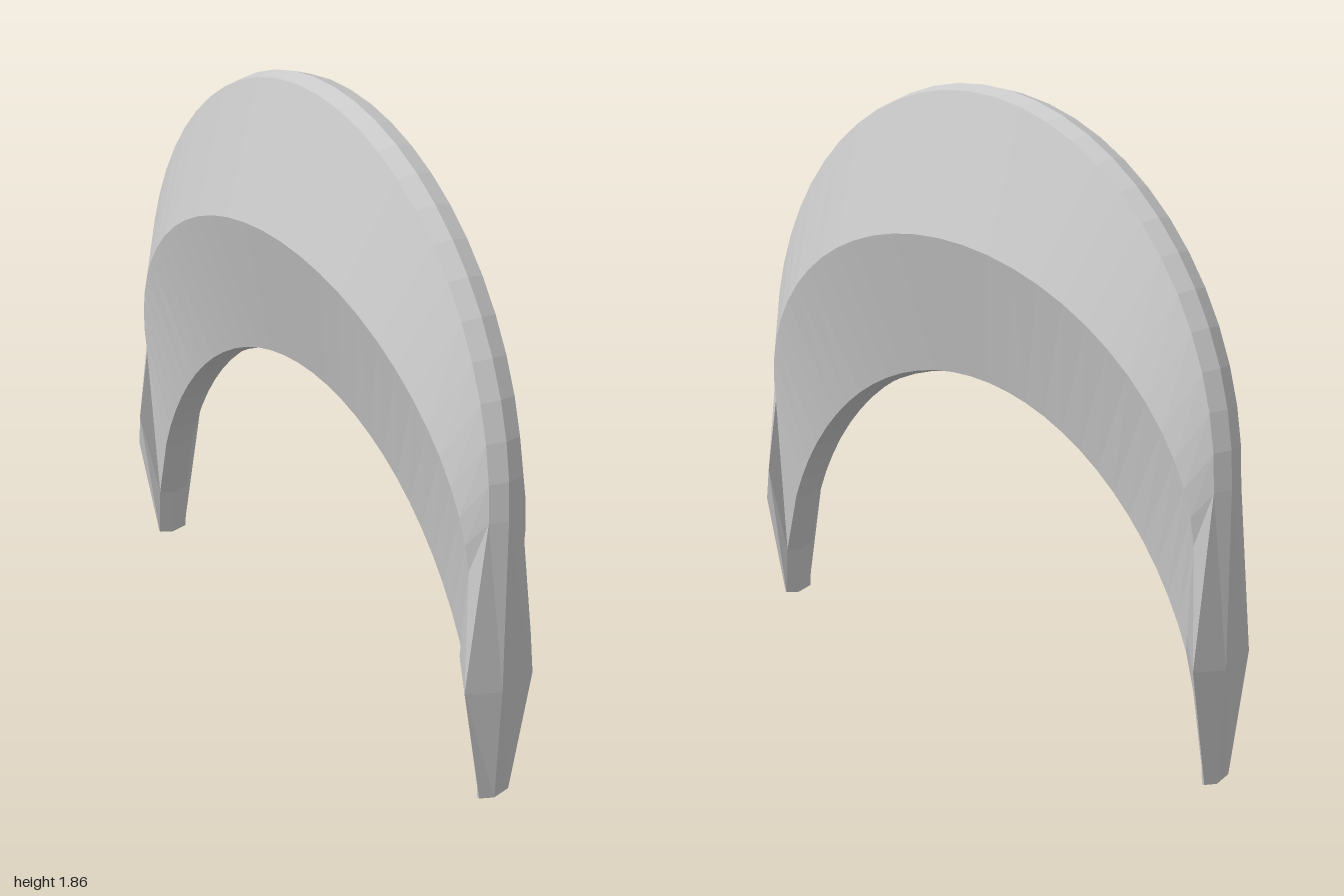
import * as THREE from 'three';

const ARC = 14;       // stations along each half of the arch
const SPLIT = 0.75;   // where the arch ends and the flared tip begins

// Points [x, y, z] of half a cross-section, from outer spine to inner spine; s runs 0 (crown) to 1 (tip)
function halfSection(s) {
  const b = s * Math.PI / 2;
  const inY = 0.98 * Math.cos(b), inZ = 0.972 * Math.sin(b);
  let outer, side, ridge;
  if (s <= SPLIT) {
    const a = (s / SPLIT) * Math.PI / 2, c = Math.cos(a), n = Math.sin(a);
    outer = [0, 0.87 + 0.99 * c, 0.998 * n];
    side = [0.055, 0.87 + 0.975 * c, 0.983 * n];
    ridge = [0.09 + 0.085 * c, 0.72 + 0.71 * c, 0.948 * n];
  } else if (s < 1) {
    // widest point of the flared tip
    outer = [0, 0.35, 1];
    side = [0.115, 0.37, 0.982];
    ridge = [0.12, 0.48, 0.96];
  } else {
    outer = [0, 0, 0.982];
    side = [0.05, 0.012, 0.979];
    ridge = [0.05, 0.012, 0.976];
  }
  return [outer, side, ridge, [0.052, inY + 0.012, inZ], [0, inY, inZ]];
}

// Closed eight-point ring; dir mirrors it to the front or back half
function ring(s, dir) {
  const half = halfSection(s);
  const mirrored = half.slice(1, -1).reverse().map(([x, y, z]) => [-x, y, z]);
  return [...half, ...mirrored].map(([x, y, z]) => new THREE.Vector3(x, y, z * dir));
}

function loft(rings) {
  const pos = [];
  const tri = (...pts) => pts.forEach(p => pos.push(p.x, p.y, p.z));
  const n = rings[0].length;
  for (let i = 0; i < rings.length - 1; i++) {
    for (let j = 0; j < n; j++) {
      const k = (j + 1) % n;
      const a = rings[i][j], b = rings[i][k], c = rings[i + 1][k], d = rings[i + 1][j];
      tri(a, d, c);
      tri(a, c, b);
    }
  }
  // tip caps
  const first = rings[0], last = rings[rings.length - 1];
  for (let k = 1; k < n - 1; k++) {
    tri(first[0], first[k], first[k + 1]);
    tri(last[0], last[k + 1], last[k]);
  }
  const g = new THREE.BufferGeometry();
  g.setAttribute('position', new THREE.Float32BufferAttribute(pos, 3));
  g.computeVertexNormals();
  return g;
}

export function createModel() {
  const group = new THREE.Group();
  group.name = 'crescentArch';

  // Crown to tip stations, mirrored about the crown
  const stations = [];
  for (let i = 0; i <= ARC; i++) stations.push(SPLIT * i / ARC);
  stations.push(0.894, 1);
  const back = stations.slice(1).reverse().map(s => ring(s, -1));
  const front = stations.map(s => ring(s, 1));

  const blade = new THREE.Mesh(
    loft([...back, ...front]),
    new THREE.MeshStandardMaterial({ color: 0xcccccc, flatShading: true })
  );
  blade.name = 'crescentBlade';
  group.add(blade);
  return group;
}
